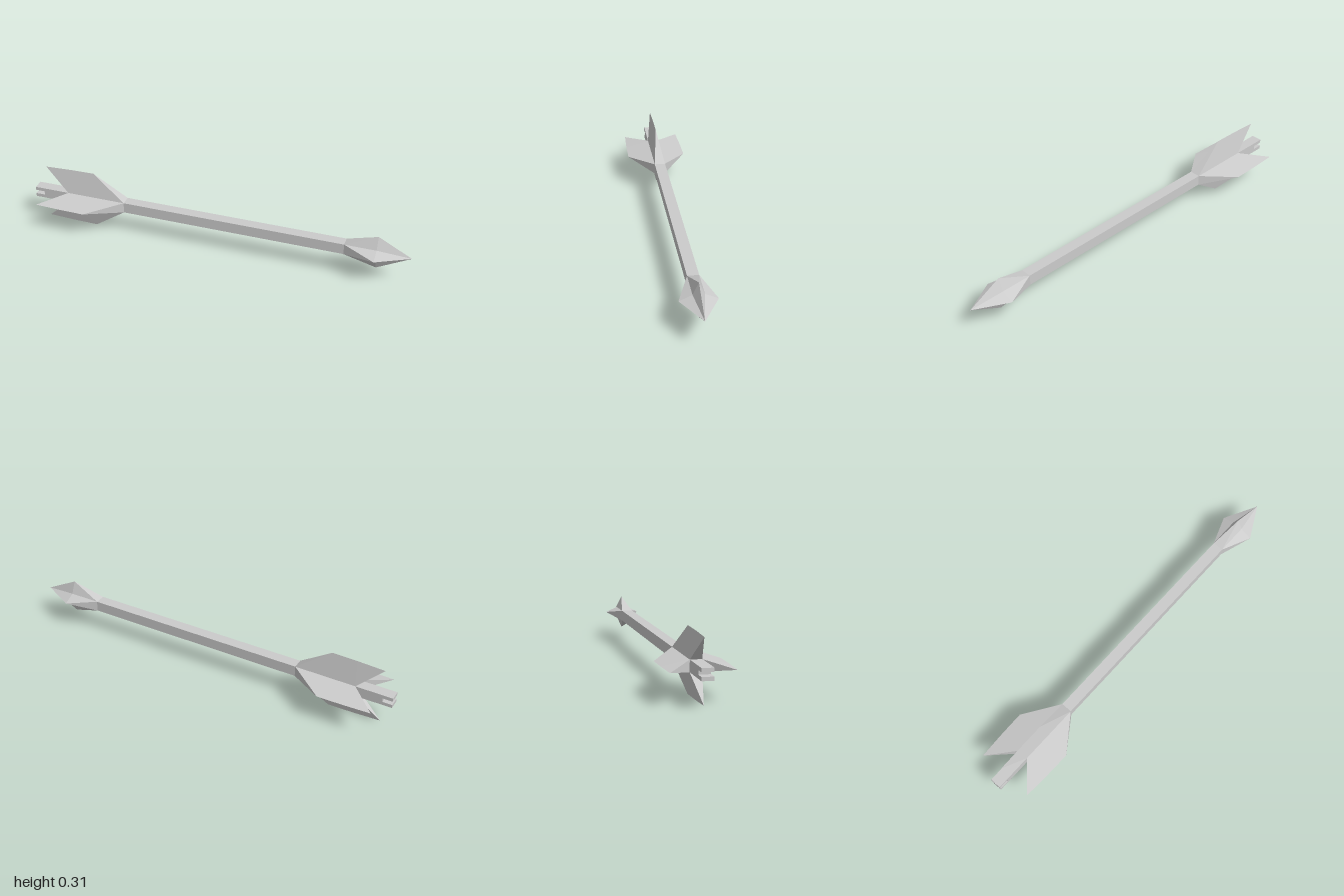
import * as THREE from 'three';

const S = 0.028;   // half width of the square shaft
const AXIS = 0.156; // height of the shaft's centre line

const material = new THREE.MeshStandardMaterial({ color: 0xcccccc, flatShading: true });

// Flat-faced geometry from triangles given as three points each
function faceted(triangles) {
  const g = new THREE.BufferGeometry();
  g.setAttribute('position', new THREE.Float32BufferAttribute(triangles.flat(2), 3));
  g.computeVertexNormals();
  return g;
}

// Adds the z-mirrored copy of each triangle with its winding reversed
function mirrorZ(triangles) {
  const flip = ([x, y, z]) => [x, y, -z];
  return [...triangles, ...triangles.map(([a, b, c]) => [flip(a), flip(c), flip(b)])];
}

// Four copies of a blade around the shaft
function aroundShaft(name, geometry) {
  const group = new THREE.Group();
  group.name = name + 's';
  for (let i = 0; i < 4; i++) {
    const mesh = new THREE.Mesh(geometry, material);
    mesh.name = name;
    mesh.rotation.x = i * Math.PI / 2;
    group.add(mesh);
  }
  return group;
}

// Square shaft with a slot for the string cut into its rear end
function createShaft() {
  const slot = 0.01, slotEnd = -0.95;
  const outline = [
    [-1, -S], [0.67, -S], [0.67, S], [-1, S],
    [-1, slot], [slotEnd, slot], [slotEnd, -slot], [-1, -slot],
  ].map(([x, y]) => new THREE.Vector2(x, y));
  const g = new THREE.ExtrudeGeometry(new THREE.Shape(outline), { depth: 2 * S, bevelEnabled: false });
  g.translate(0, 0, -S);
  const mesh = new THREE.Mesh(g, material);
  mesh.name = 'shaft';
  return mesh;
}

// Swept-back wedge fin, as wide as the shaft at its root
function finGeometry() {
  const front = [-0.495, S, S], back = [-0.81, S, S];
  const a = [-0.67, 0.156, 0], m = [-0.8, 0.154, 0], e = [-0.94, 0.148, 0];
  const mirrored = ([x, y, z]) => [x, y, -z];
  return faceted([
    ...mirrorZ([[back, front, a], [back, a, m], [back, m, e]]),
    [front, mirrored(front), a],
    [back, e, mirrored(back)],
  ]);
}

// One of the four ridges of the star-shaped point
function headGeometry() {
  const base = [0.67, S, S], valley = [0.83, S, S];
  const ridge = [0.83, 0.09, 0], tip = [1, 0, 0];
  return faceted([
    ...mirrorZ([[base, valley, ridge], [valley, tip, ridge]]),
    [base, ridge, [0.67, S, -S]],
  ]);
}

export function createModel() {
  const model = new THREE.Group();
  model.name = 'arrow';
  model.add(
    createShaft(),
    aroundShaft('fin', finGeometry()),
    aroundShaft('headRidge', headGeometry()),
  );
  model.position.y = AXIS;
  const root = new THREE.Group();
  root.name = 'arrowModel';
  root.add(model);
  return root;
}
